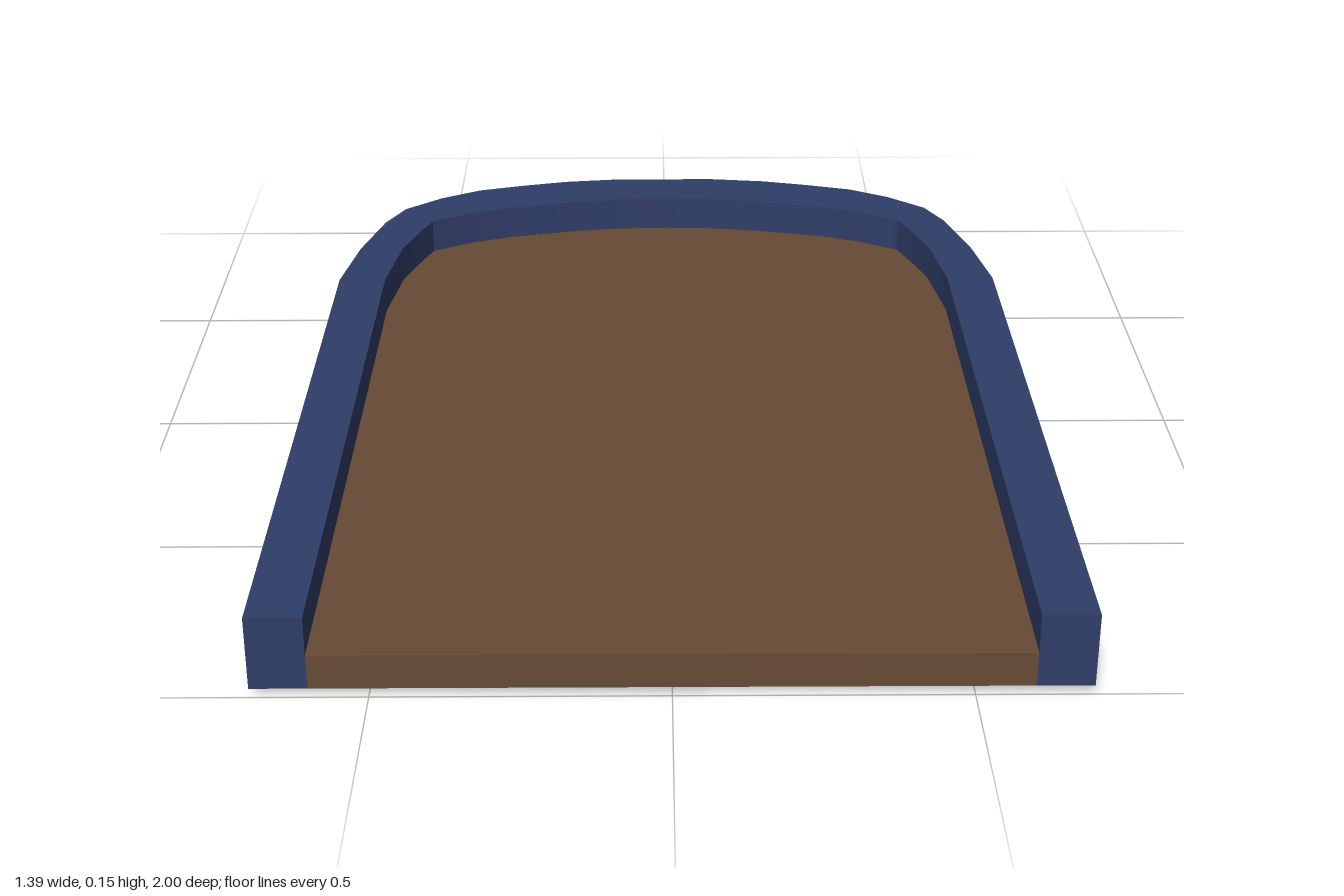
import * as THREE from 'three';
import { toCreasedNormals } from 'three/addons/utils/BufferGeometryUtils.js';

// Half outlines on the +x side as [x, z], from the open front to the rounded back
const OUTER = [[0.697, 1], [0.697, -0.4], [0.67, -0.575], [0.63, -0.73], [0.592, -0.812],
  [0.515, -0.88], [0.43, -0.93], [0.33, -0.96], [0.23, -0.985], [0.11, -1]];
const INNER = [[0.6, 1], [0.6, -0.4], [0.578, -0.575], [0.545, -0.68], [0.525, -0.735],
  [0.44, -0.785], [0.36, -0.817], [0.2, -0.855], [0.1, -0.869], [0, -0.873]];

// Complete a half outline by mirroring it; shape y is -z
function fullOutline(half) {
  const right = half.map(([x, z]) => new THREE.Vector2(x, -z));
  const left = half.filter(([x]) => x > 0).reverse().map(([x, z]) => new THREE.Vector2(-x, -z));
  return [...right, ...left];
}

// Extrude upward, then slope the whole slab gently down to the back
function slopedSlab(points, height) {
  let geo = new THREE.ExtrudeGeometry(new THREE.Shape(points), { depth: height, bevelEnabled: false });
  geo.rotateX(-Math.PI / 2);
  const pos = geo.attributes.position;
  for (let i = 0; i < pos.count; i++) {
    pos.setY(i, pos.getY(i) + 0.0085 * (pos.getZ(i) + 1) + 0.002);
  }
  return toCreasedNormals(geo, 0.6);
}

export function createModel() {
  const group = new THREE.Group();
  group.name = 'tray';
  const blue = new THREE.MeshStandardMaterial({ color: 0x2f3d68 });
  blue.name = 'navy blue';
  const brown = new THREE.MeshStandardMaterial({ color: 0x674b35 });
  brown.name = 'brown';

  // Raised rim, open at the front
  const outer = fullOutline(OUTER);
  const inner = fullOutline(INNER);
  const rim = new THREE.Mesh(slopedSlab([...outer, ...inner.slice().reverse()], 0.135), blue);
  rim.name = 'rim';

  // Floor slab filling the rim
  const floor = new THREE.Mesh(slopedSlab(inner, 0.063), brown);
  floor.name = 'floor';

  group.add(rim, floor);
  return group;
}
